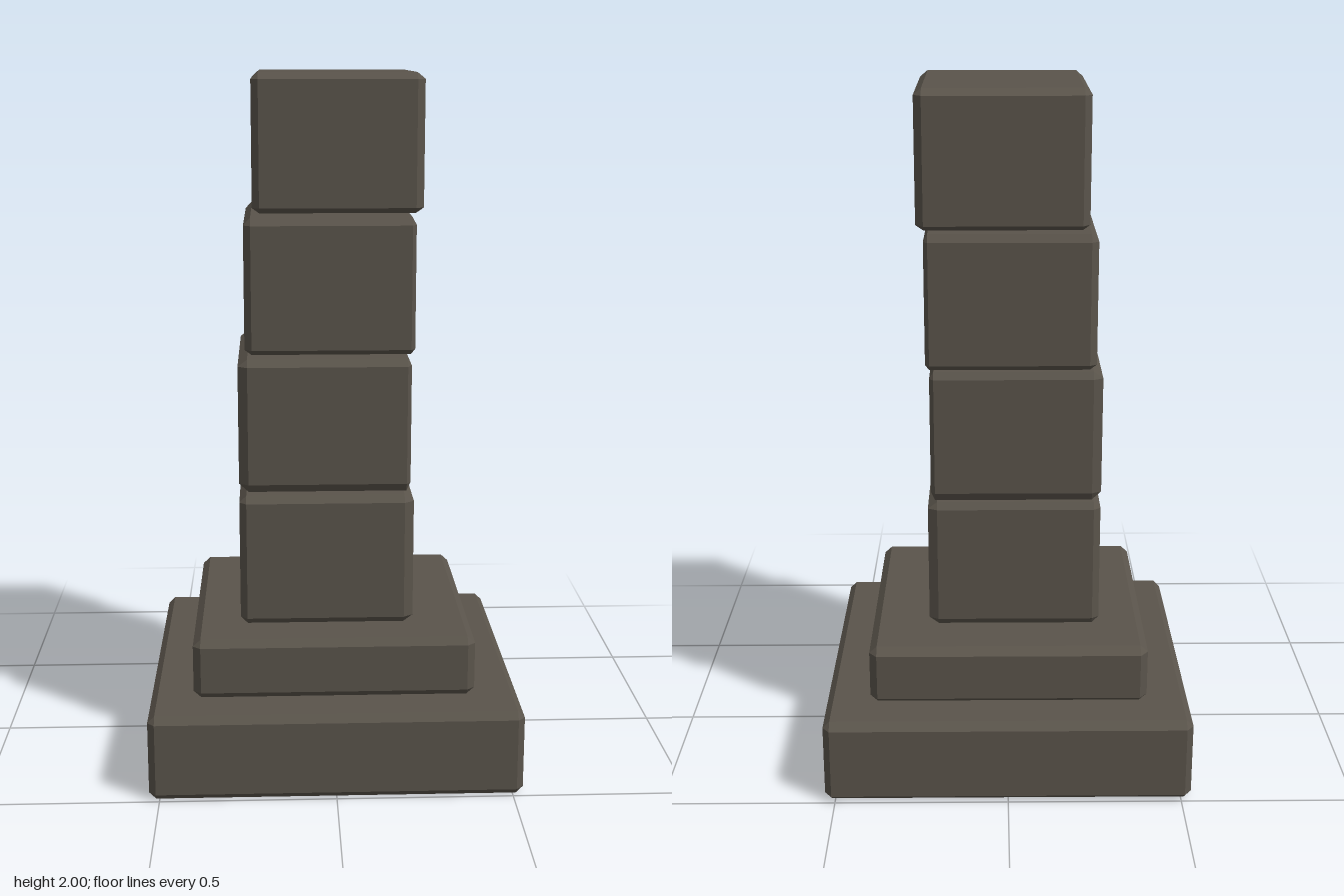
import * as THREE from 'three';
import { ConvexGeometry } from 'three/addons/geometries/ConvexGeometry.js';

// Each block: [min, max] per axis, then the chamfer width at each end of that axis
const BLOCKS = [
  { name: 'basePlinth', x: [-0.53, 0.53], y: [0, 0.25], z: [-0.5, 0.5], cx: [0.02, 0.02], cy: [0.02, 0.02], cz: [0.025, 0.02] },
  { name: 'upperPlinth', x: [-0.405, 0.4], y: [0.255, 0.43], z: [-0.39, 0.385], cx: [0.022, 0.022], cy: [0.02, 0.02], cz: [0.027, 0.02] },
  { name: 'firstColumnBlock', x: [-0.27, 0.23], y: [0.435, 0.82], z: [-0.235, 0.27], cx: [0.02, 0.027], cy: [0.02, 0.02], cz: [0.015, 0.02] },
  { name: 'secondColumnBlock', x: [-0.27, 0.22], y: [0.83, 1.215], z: [-0.245, 0.265], cx: [0.027, 0.012], cy: [0.025, 0.02], cz: [0.015, 0.02] },
  { name: 'thirdColumnBlock', x: [-0.25, 0.23], y: [1.225, 1.61], z: [-0.26, 0.25], cx: [0.02, 0.012], cy: [0.015, 0.022], cz: [0.015, 0.02] },
  { name: 'topColumnBlock', x: [-0.225, 0.25], y: [1.62, 2], z: [-0.27, 0.24], cx: [0.02, 0.022], cy: [0.015, 0.018], cz: [0.025, 0.02] },
];

// Chamfered box: every corner is cut into three points, one on each adjoining face
function chamferedBlock({ x, y, z, cx, cy, cz }) {
  const points = [];
  const inset = (range, cut, i) => range[i] + (i ? -cut[i] : cut[i]);
  for (const i of [0, 1]) for (const j of [0, 1]) for (const k of [0, 1]) {
    const ix = inset(x, cx, i), iy = inset(y, cy, j), iz = inset(z, cz, k);
    points.push(
      new THREE.Vector3(x[i], iy, iz),
      new THREE.Vector3(ix, y[j], iz),
      new THREE.Vector3(ix, iy, z[k]),
    );
  }
  return new ConvexGeometry(points);
}

export function createModel() {
  const model = new THREE.Group();
  model.name = 'stonePillar';
  const stone = new THREE.MeshStandardMaterial({ color: 0x5a544b });
  stone.name = 'stone';

  // Two plinth slabs and four slightly shifted column blocks
  for (const block of BLOCKS) {
    const mesh = new THREE.Mesh(chamferedBlock(block), stone);
    mesh.name = block.name;
    model.add(mesh);
  }
  return model;
}
